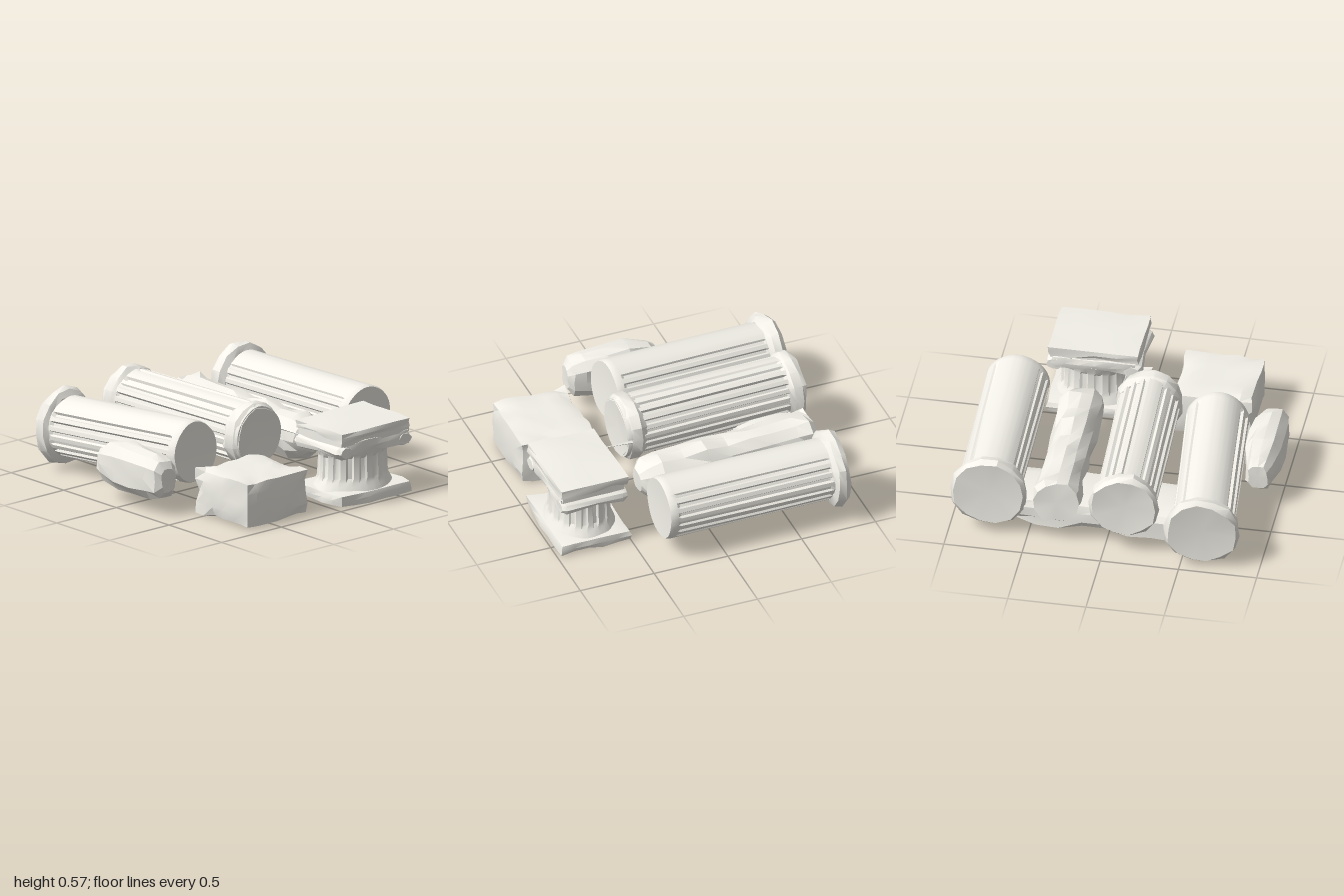
import * as THREE from 'three';
import { toCreasedNormals } from 'three/addons/utils/BufferGeometryUtils.js';

const stone = new THREE.MeshStandardMaterial({ color: 0xf2f0e8 });
const V = (x, y, z) => new THREE.Vector3(x, y, z);

// Repeatable pseudo-random value in -1..1 from up to three numbers
function hash(a, b = 0, c = 0) {
  const s = Math.sin(a * 12.9898 + b * 78.233 + c * 37.719 + 1.7) * 43758.5453;
  return (s - Math.floor(s)) * 2 - 1;
}

function mesh(geometry, name, crease = 0.5) {
  const m = new THREE.Mesh(toCreasedNormals(geometry, crease), stone);
  m.name = name;
  return m;
}

// Closed body of rings along +y; point(i, j) gives corner j of ring i
function loft(rings, sides, point, dent = 0) {
  const pos = [], idx = [];
  const ends = [V(0, 0, 0), V(0, 0, 0)];
  for (let i = 0; i < rings; i++) {
    for (let j = 0; j < sides; j++) {
      const p = point(i, j);
      pos.push(p.x, p.y, p.z);
      if (i === 0) ends[0].addScaledVector(p, 1 / sides);
      if (i === rings - 1) ends[1].addScaledVector(p, 1 / sides);
    }
  }
  ends[0].y += dent;
  ends[1].y -= dent;
  ends.forEach((e) => pos.push(e.x, e.y, e.z));
  const c0 = rings * sides, last = (rings - 1) * sides;
  for (let j = 0; j < sides; j++) {
    const k = (j + 1) % sides;
    for (let i = 0; i < rings - 1; i++) {
      const a = i * sides + j, b = i * sides + k;
      idx.push(a, a + sides, b, b, a + sides, b + sides);
    }
    idx.push(c0, j, k, c0 + 1, last + k, last + j);
  }
  const g = new THREE.BufferGeometry();
  g.setAttribute('position', new THREE.Float32BufferAttribute(pos, 3));
  g.setIndex(idx);
  return g;
}

// Weathered body: profile rows are [height, radius]; power 2 is round, higher is squarer
function rough(profile, sides, amount, seed, { dent = 0, power = 2 } = {}) {
  return loft(profile.length, sides, (i, j) => {
    const a = (j / sides) * Math.PI * 2, c = Math.cos(a), s = Math.sin(a);
    const square = (Math.abs(c) ** power + Math.abs(s) ** power) ** (-1 / power);
    const r = profile[i][1] * square * (1 + amount * hash(i, j, seed));
    const h = profile[i][0] + profile[i][1] * amount * 0.6 * hash(j, i, seed + 3);
    return V(c * r, h, s * r);
  }, dent);
}

// Fluted body: rows are [height, radius, groove depth]; flutes within worn of angle mid are smoothed
function fluted(profile, flutes, seed, mid, worn, dent = 0) {
  const steps = [0, 0.42, 0.56, 0.86], cut = [0, 0, 1, 1];
  return loft(profile.length, flutes * 4, (i, j) => {
    const f = Math.floor(j / 4), a = ((f + steps[j % 4]) / flutes) * Math.PI * 2;
    const kept = Math.abs(((f + 0.7) / flutes) * Math.PI * 2 - mid) < worn ? 0 : 0.75 + 0.25 * hash(f, seed);
    const [h, r, depth] = profile[i];
    const wob = 1 + 0.012 * Math.sin(a * 3 + seed + h * 2) + 0.01 * Math.sin(a * 5 - h * 4);
    const rr = r * wob - cut[j % 4] * depth * kept;
    return V(Math.cos(a) * rr, h, Math.sin(a) * rr);
  }, dent);
}

// Block with chipped edges and uneven faces; min and max are opposite corners
function chipped(min, max, chip, seed, segs = [6, 4, 6]) {
  const size = max.clone().sub(min), mid = min.clone().add(max).multiplyScalar(0.5);
  const g = new THREE.BoxGeometry(size.x, size.y, size.z, ...segs);
  const p = g.attributes.position, v = V(0, 0, 0);
  for (let i = 0; i < p.count; i++) {
    v.fromBufferAttribute(p, i);
    const key = [Math.round(v.x * 99) + seed, Math.round(v.y * 99), Math.round(v.z * 99)];
    const on = ['x', 'y', 'z'].filter((k) => Math.abs(v[k]) > size[k] / 2 - 1e-4);
    const pull = on.length > 1 ? chip * (0.45 + 0.4 * hash(...key)) : chip * 0.15 * (1 + hash(...key));
    on.forEach((k) => { v[k] -= Math.sign(v[k]) * pull; });
    p.setXYZ(i, v.x + mid.x, v.y + mid.y, v.z + mid.z);
  }
  g.deleteAttribute('uv');
  g.deleteAttribute('normal');
  return g;
}

// Points a group's +y from one place to another
function lay(group, from, to) {
  group.position.copy(from);
  group.quaternion.setFromUnitVectors(V(0, 1, 0), to.clone().sub(from).normalize());
}

// Fallen column from its foot to the far face of its capital
function column(name, from, to, o) {
  const g = new THREE.Group();
  g.name = name;
  const L = from.distanceTo(to), r = o.r, d = 0.02;
  g.add(mesh(fluted([
    [0, r * 0.96, 0], [0.02, r, 0], [0.05, r, 0], [0.07, r, d],
    [L * 0.5, r * 0.99, d], [L - 0.12, r * 0.98, d], [L - 0.1, r * 0.98, 0], [L - 0.04, r, 0],
  ], 20, o.seed, o.mid, o.worn, 0.012), 'flutedShaft'));
  const R = o.capital;
  g.add(mesh(rough([
    [L - 0.105, r * 0.97], [L - 0.08, R * 0.96], [L - 0.03, R], [L, R * 0.9],
  ], 14, 0.05, o.seed, { dent: 0.02 }), 'capital'));
  if (o.foot) {
    g.add(mesh(rough([
      [0, r * 0.92], [0.03, r * 1.06], [0.09, r * 1.08], [0.13, r * 0.97],
    ], 15, 0.04, o.seed + 5, { dent: 0.015 }), 'foot'));
  }
  lay(g, from, to);
  return g;
}

// Short fluted pedestal with scrolls and a top slab
function pedestal() {
  const g = new THREE.Group();
  g.name = 'pedestal';
  g.add(mesh(chipped(V(0.025, 0, 0.495), V(0.625, 0.085, 0.98), 0.02, 2, [5, 2, 5]), 'base'));
  const body = mesh(fluted([
    [0.06, 0.285, 0], [0.1, 0.265, 0], [0.125, 0.25, 0], [0.15, 0.245, 0.014],
    [0.28, 0.238, 0.014], [0.3, 0.242, 0], [0.35, 0.265, 0],
  ], 16, 4, 0, 0), 'flutedDrum');
  body.scale.z = 0.78;
  body.position.set(0.325, 0, 0.74);
  g.add(body);
  g.add(mesh(chipped(V(0.05, 0.325, 0.525), V(0.6, 0.42, 0.972), 0.02, 7, [6, 2, 6]), 'capitalBlock'));
  for (const s of [-1, 1]) {
    const roll = mesh(rough([
      [0, 0.036], [0.03, 0.048], [0.2, 0.04], [0.41, 0.048], [0.44, 0.036],
    ], 10, 0.12, 8 + s), 'scroll');
    roll.rotation.x = Math.PI / 2;
    roll.scale.x = 1.4;
    roll.position.set(0.325 + s * 0.245, 0.358, 0.53);
    g.add(roll);
  }
  g.add(mesh(chipped(V(0.035, 0.395, 0.54), V(0.61, 0.455, 0.965), 0.01, 5, [4, 1, 4]), 'slabNeck'));
  g.add(mesh(chipped(V(0.03, 0.425, 0.515), V(0.615, 0.497, 0.978), 0.018, 11, [4, 2, 4]), 'topSlab'));
  return g;
}

export function createModel() {
  const model = new THREE.Group();
  model.name = 'ruinedColumns';

  // Three fluted columns side by side, worn smooth along the top
  model.add(
    column('rightColumn', V(-0.53, 0.322, 0.22), V(-0.64, 0.258, -0.955), { r: 0.2, capital: 0.245, seed: 3, mid: 1.65, worn: 0.75 }),
    column('middleColumn', V(-0.085, 0.36, 0.32), V(-0.13, 0.355, -0.9), { r: 0.197, capital: 0.225, seed: 9, mid: 1.8, worn: 0.3, foot: true }),
    column('leftColumn', V(0.774, 0.325, 0.375), V(0.748, 0.31, -0.84), { r: 0.202, capital: 0.25, seed: 6, mid: 1.57, worn: 0.6 }),
  );

  // Slim broken shaft between the columns
  const broken = new THREE.Group();
  broken.name = 'brokenShaft';
  broken.add(mesh(rough([
    [0, 0.07], [0.05, 0.125], [0.14, 0.15], [0.3, 0.14], [0.45, 0.148], [0.6, 0.13],
    [0.75, 0.138], [0.9, 0.14], [1.06, 0.148], [1.14, 0.152], [1.175, 0.145],
  ], 12, 0.1, 14), 'brokenStone', 0.35));
  lay(broken, V(0.345, 0.25, 0.35), V(0.318, 0.29, -0.82));
  model.add(broken);

  // Beam lying under the columns
  const beam = mesh(chipped(V(-0.61, 0.085, -0.83), V(0.72, 0.285, -0.42), 0.04, 21, [9, 3, 4]), 'beam', 0.4);
  beam.rotation.y = -0.03;
  model.add(beam);

  // Loose boulder, block and pedestal
  const boulder = mesh(rough([
    [-0.3, 0.08], [-0.25, 0.115], [-0.1, 0.15], [0.06, 0.155], [0.2, 0.145], [0.28, 0.12], [0.31, 0.075],
  ], 12, 0.09, 17, { power: 3.5 }), 'boulder', 0.3);
  boulder.rotation.x = Math.PI / 2;
  boulder.scale.x = 0.77;
  boulder.position.set(-0.872, 0.235, 0.04);
  model.add(boulder);
  model.add(mesh(chipped(V(-0.715, 0, 0.415), V(-0.192, 0.308, 0.922), 0.03, 31), 'squareBlock', 0.4));
  model.add(pedestal());

  // Thin splinter reaching from the middle column to the pedestal
  const splinter = new THREE.Group();
  splinter.name = 'splinter';
  splinter.add(mesh(new THREE.ConeGeometry(0.012, 0.24, 4).translate(0, 0.12, 0), 'sliver'));
  lay(splinter, V(0.11, 0.37, 0.29), V(0.1, 0.37, 0.53));
  model.add(splinter);

  return model;
}
